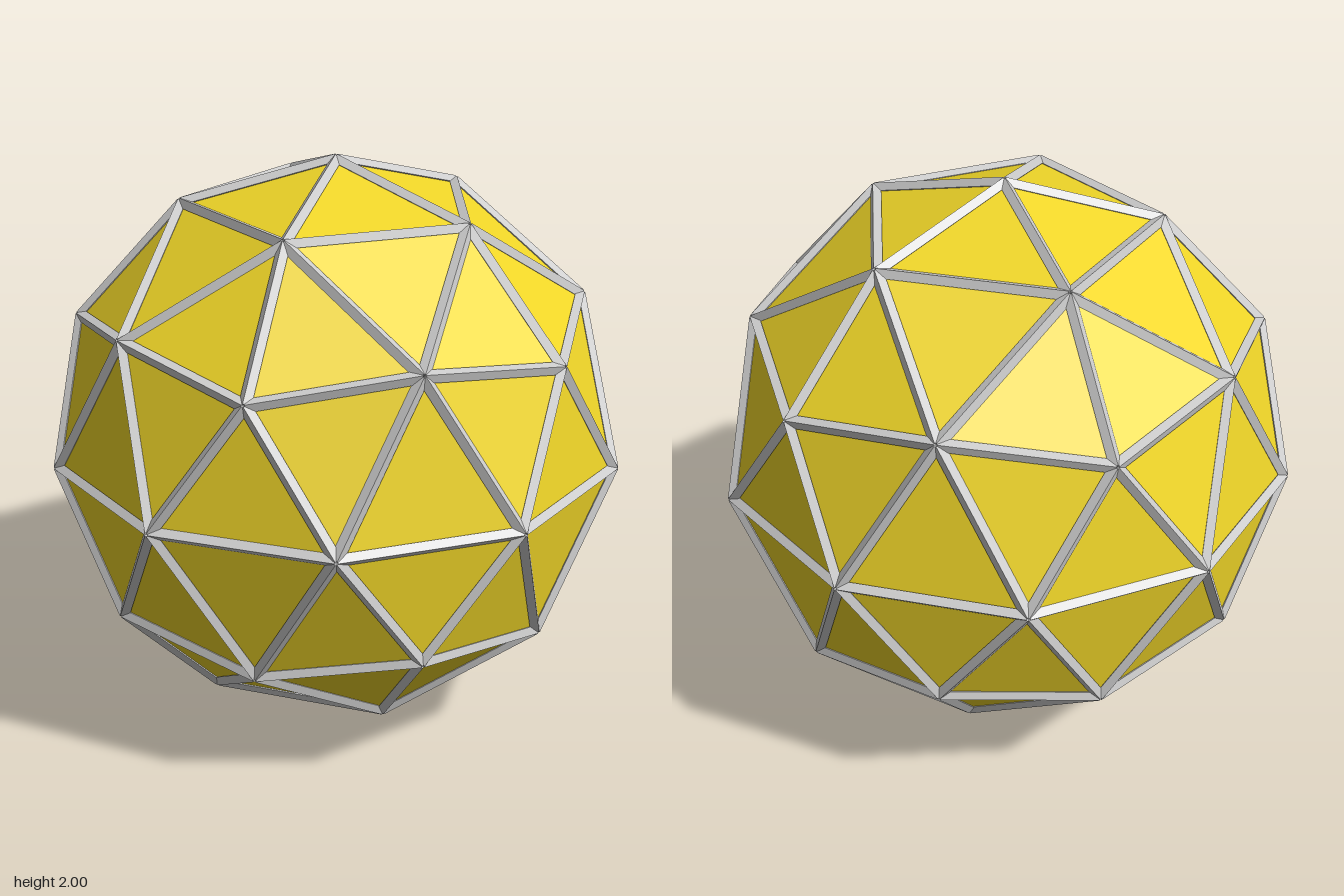
import * as THREE from 'three';

const R = 0.98;        // radius of the nodes
const STRUT = 0.021;   // half width of the four-sided struts

// Diamond-section bar from a to b with one ridge pointing away from the centre
function makeStrut(a, b, material) {
  const along = b.clone().sub(a);
  const length = along.length();
  along.normalize();
  const out = a.clone().add(b).normalize();
  const side = new THREE.Vector3().crossVectors(along, out);
  const mesh = new THREE.Mesh(new THREE.CylinderGeometry(STRUT, STRUT, length, 4), material);
  // side x along = out, so the basis is right-handed
  mesh.quaternion.setFromRotationMatrix(
    new THREE.Matrix4().makeBasis(side, along, new THREE.Vector3().crossVectors(side, along)));
  mesh.position.copy(a).add(b).multiplyScalar(0.5);
  mesh.name = 'strut';
  return mesh;
}

export function createModel() {
  const model = new THREE.Group();
  model.name = 'geodesicSphere';
  const strutMaterial = new THREE.MeshStandardMaterial({ color: 0xcccccc, flatShading: true });
  const panelMaterial = new THREE.MeshStandardMaterial({
    color: 0xf0d628, flatShading: true, side: THREE.DoubleSide });

  // Triangular panels: subdivided icosahedron with a five-way node on top
  const geometry = new THREE.IcosahedronGeometry(R, 1);
  geometry.rotateZ(-Math.atan(2 / (1 + Math.sqrt(5))));
  const panels = new THREE.Mesh(geometry, panelMaterial);
  panels.name = 'panels';
  panels.position.y = 1;
  model.add(panels);

  // One strut along every shared edge
  const frame = new THREE.Group();
  frame.name = 'frame';
  frame.position.y = 1;
  model.add(frame);
  const pos = geometry.attributes.position;
  const done = new Set();
  const key = (v) => v.toArray().map((n) => Math.round(n * 1000) + 0).join(',');
  for (let f = 0; f < pos.count; f += 3) {
    const corners = [0, 1, 2].map((i) => new THREE.Vector3().fromBufferAttribute(pos, f + i));
    for (let i = 0; i < 3; i++) {
      const a = corners[i], b = corners[(i + 1) % 3];
      const id = [key(a), key(b)].sort().join('|');
      if (done.has(id)) continue;
      done.add(id);
      frame.add(makeStrut(a, b, strutMaterial));
    }
  }
  return model;
}
